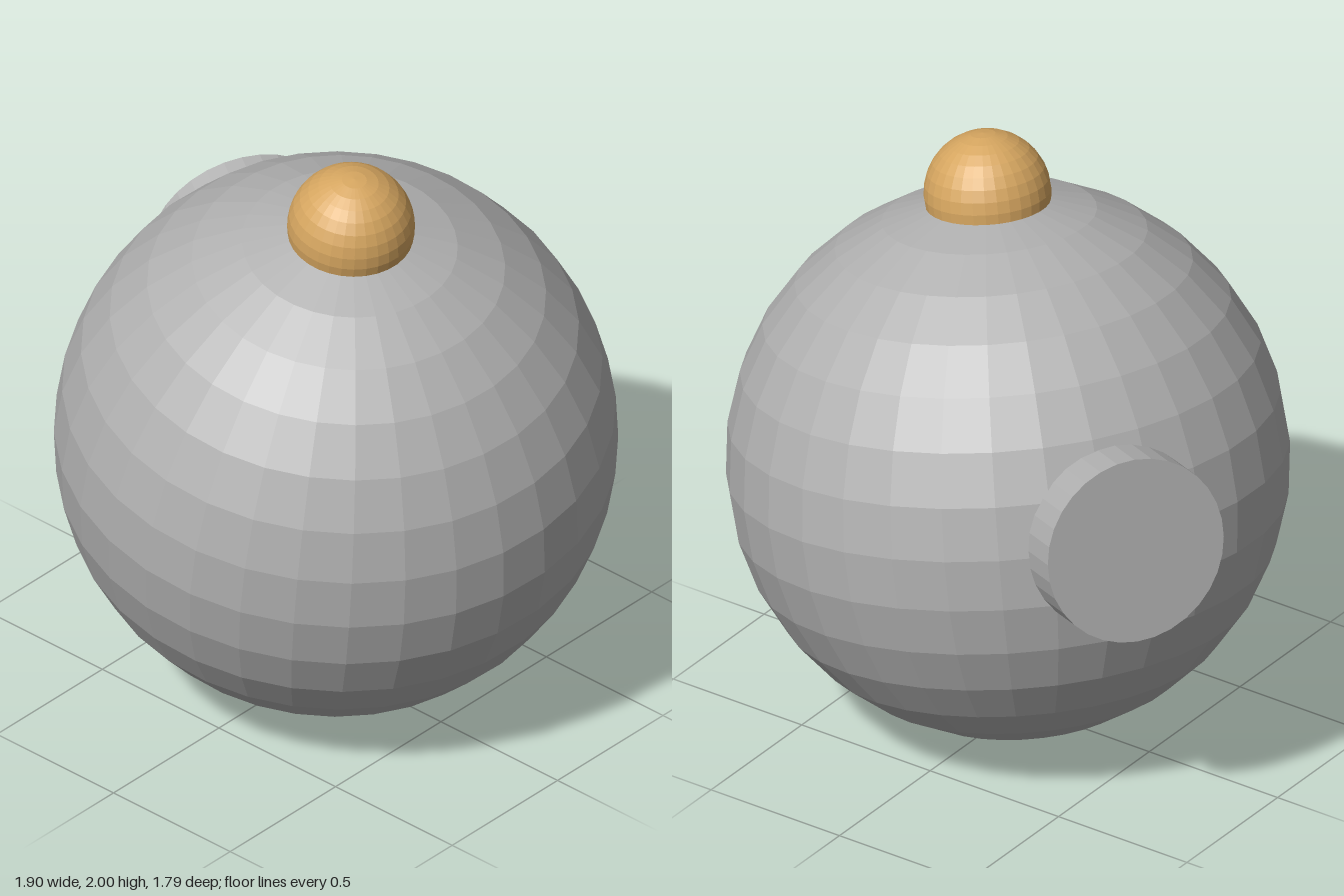
import * as THREE from 'three';

const UP = new THREE.Vector3(0, 1, 0);

// Give every facet its own normal
function faceted(geometry) {
  const g = geometry.toNonIndexed();
  g.computeVertexNormals();
  return g;
}

export function createModel() {
  const grey = new THREE.MeshStandardMaterial({ color: 0xb0b0b0 });
  grey.name = 'grey';
  const amber = new THREE.MeshStandardMaterial({ color: 0xd6a660 });
  amber.name = 'amber';

  const model = new THREE.Group();
  model.name = 'ballWithKnobAndPort';

  const center = new THREE.Vector3(0.05, 0.9, 0);
  const knobAxis = new THREE.Vector3(0.134, 0.895, 0.077).normalize();
  const portAxis = new THREE.Vector3(-0.845, 0.175, -0.49).normalize();

  // Places a part along an axis running out from the ball's centre
  function add(name, geometry, material, axis, distance) {
    const mesh = new THREE.Mesh(faceted(geometry), material);
    mesh.name = name;
    mesh.quaternion.setFromUnitVectors(UP, axis);
    mesh.position.copy(center).addScaledVector(axis, distance);
    model.add(mesh);
  }

  // Large ball, its poles tilted to line up with the knob
  add('body', new THREE.SphereGeometry(0.9, 32, 16), grey, knobAxis, 0);

  // Round knob sunk into the top
  add('topKnob', new THREE.SphereGeometry(0.204, 32, 16), amber, knobAxis, 0.909);

  // Short round port on the back right
  add('sidePort', new THREE.CylinderGeometry(0.307, 0.307, 0.3, 32), grey, portAxis, 0.84);

  return model;
}
